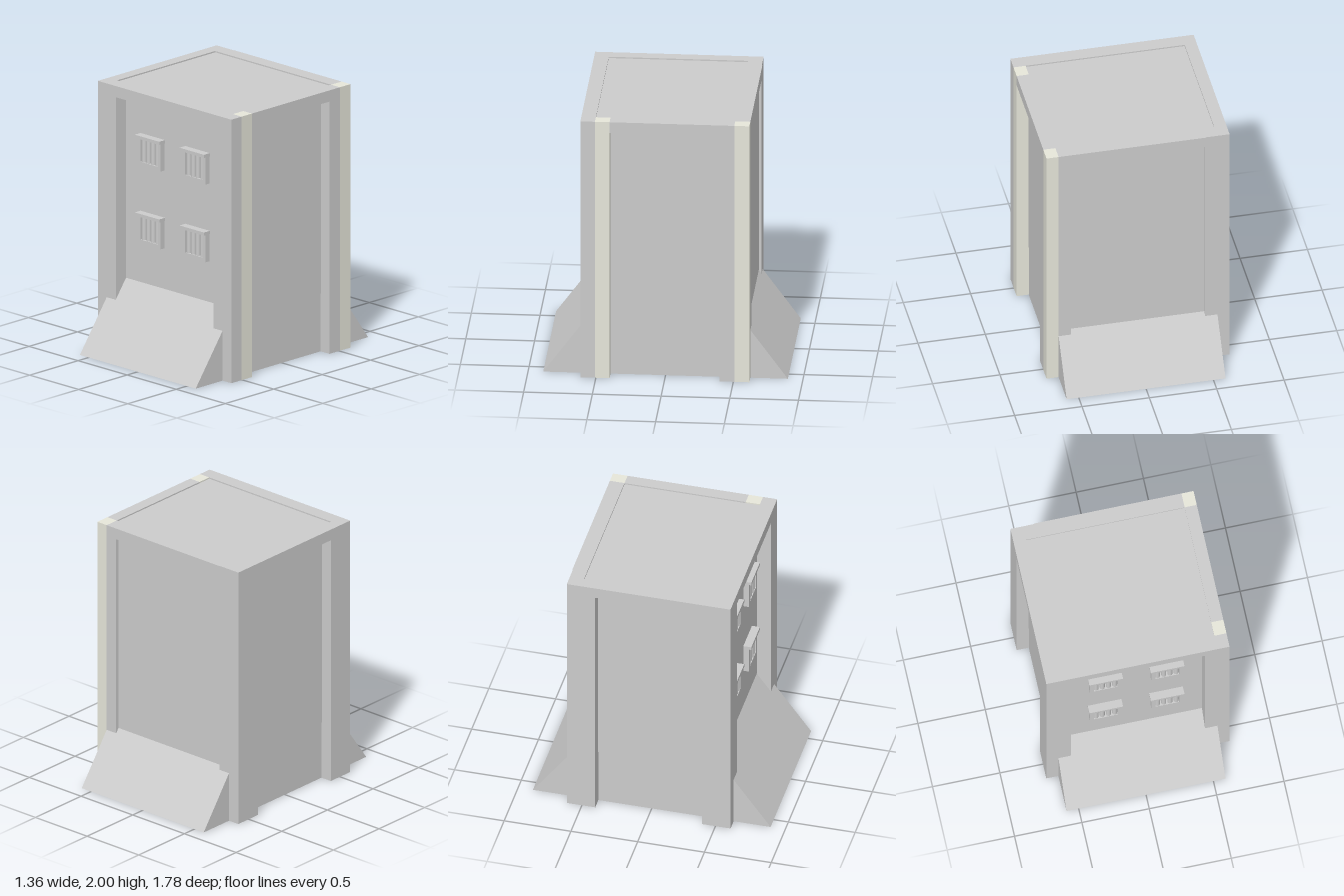
import * as THREE from 'three';

const grey = new THREE.MeshStandardMaterial({ color: 0xcccccc, flatShading: true });
const smooth = new THREE.MeshStandardMaterial({ color: 0xcccccc });
const cream = new THREE.MeshStandardMaterial({ color: 0xe6e6da, flatShading: true });

// Box given by its minimum and maximum corners
function block(name, x0, x1, y0, y1, z0, z1, material = grey) {
  const geo = new THREE.BoxGeometry(x1 - x0, y1 - y0, z1 - z0);
  geo.translate((x0 + x1) / 2, (y0 + y1) / 2, (z0 + z1) / 2);
  const mesh = new THREE.Mesh(geo, material);
  mesh.name = name;
  return mesh;
}

// Barred window with frame and hood, origin at the centre of the frame's foot
function barredWindow() {
  const g = new THREE.Group();
  g.name = 'barredWindow';
  g.add(
    block('windowSill', -0.118, 0.118, 0, 0.03, 0, 0.04),
    block('windowJambLeft', 0.088, 0.118, 0.03, 0.208, 0, 0.04),
    block('windowJambRight', -0.118, -0.088, 0.03, 0.208, 0, 0.04),
    block('windowHood', -0.127, 0.123, 0.208, 0.232, 0, 0.06)
  );
  const barGeo = new THREE.CylinderGeometry(0.019, 0.019, 0.178, 12);
  for (let i = 0; i < 4; i++) {
    const bar = new THREE.Mesh(barGeo, smooth);
    bar.name = 'windowBar';
    bar.position.set((i - 1.5) * 0.046, 0.119, 0.018);
    g.add(bar);
  }
  return g;
}

export function createModel() {
  const model = new THREE.Group();
  model.name = 'tower';

  // Recessed walls, with the roof just below the rim, and a shallower back wall
  model.add(
    block('core', -0.593, 0.593, 0.44, 1.99, -0.507, 0.507),
    block('backWall', -0.5, 0.5, 0.3, 1.915, -0.592, -0.507)
  );

  // Sloped base running through from front to back
  const profile = new THREE.Shape([
    new THREE.Vector2(-0.89, 0), new THREE.Vector2(0.89, 0),
    new THREE.Vector2(0.507, 0.522), new THREE.Vector2(-0.507, 0.522)
  ]);
  const baseGeo = new THREE.ExtrudeGeometry(profile, { depth: 1.18, bevelEnabled: false });
  baseGeo.translate(0, 0, -0.59);
  baseGeo.rotateY(Math.PI / 2);
  const base = new THREE.Mesh(baseGeo, grey);
  base.name = 'slopedBase';
  model.add(base);

  // L-shaped corner pillars; one strip of each pillar on the left side is cream
  for (const sx of [-1, 1]) {
    for (const sz of [-1, 1]) {
      const span = (s, a, b) => (s > 0 ? [a, b] : [-b, -a]);
      const outer = span(sx, 0.59, 0.68);
      const left = sx > 0;
      const face = left && sz < 0 ? 0.617 : 0.613;
      const pillar = new THREE.Group();
      pillar.name = 'cornerPillar';
      pillar.add(
        block('pillarInner', ...span(sx, 0.498, 0.59), 0, 2, ...span(sz, 0.507, face)),
        block('pillarSide', ...outer, 0, 2, ...span(sz, 0.4, 0.507), left && sz > 0 ? cream : grey),
        block('pillarCorner', ...outer, 0, 2, ...span(sz, 0.507, face), left && sz < 0 ? cream : grey)
      );
      model.add(pillar);
    }
  }

  // Lintels closing the rim between the pillars
  model.add(
    block('frontLintel', -0.498, 0.498, 1.915, 2, 0.507, 0.613),
    block('backLintel', -0.505, 0.498, 1.915, 2, -0.617, -0.507),
    block('leftLintel', 0.59, 0.68, 1.915, 2, -0.4, 0.4),
    block('rightLintel', -0.68, -0.59, 1.915, 2, -0.4, 0.4)
  );

  // Two rows of windows on the front wall
  for (const x of [-0.223, 0.233]) {
    for (const y of [0.831, 1.421]) {
      const w = barredWindow();
      w.position.set(x, y, 0.507);
      model.add(w);
    }
  }
  return model;
}
